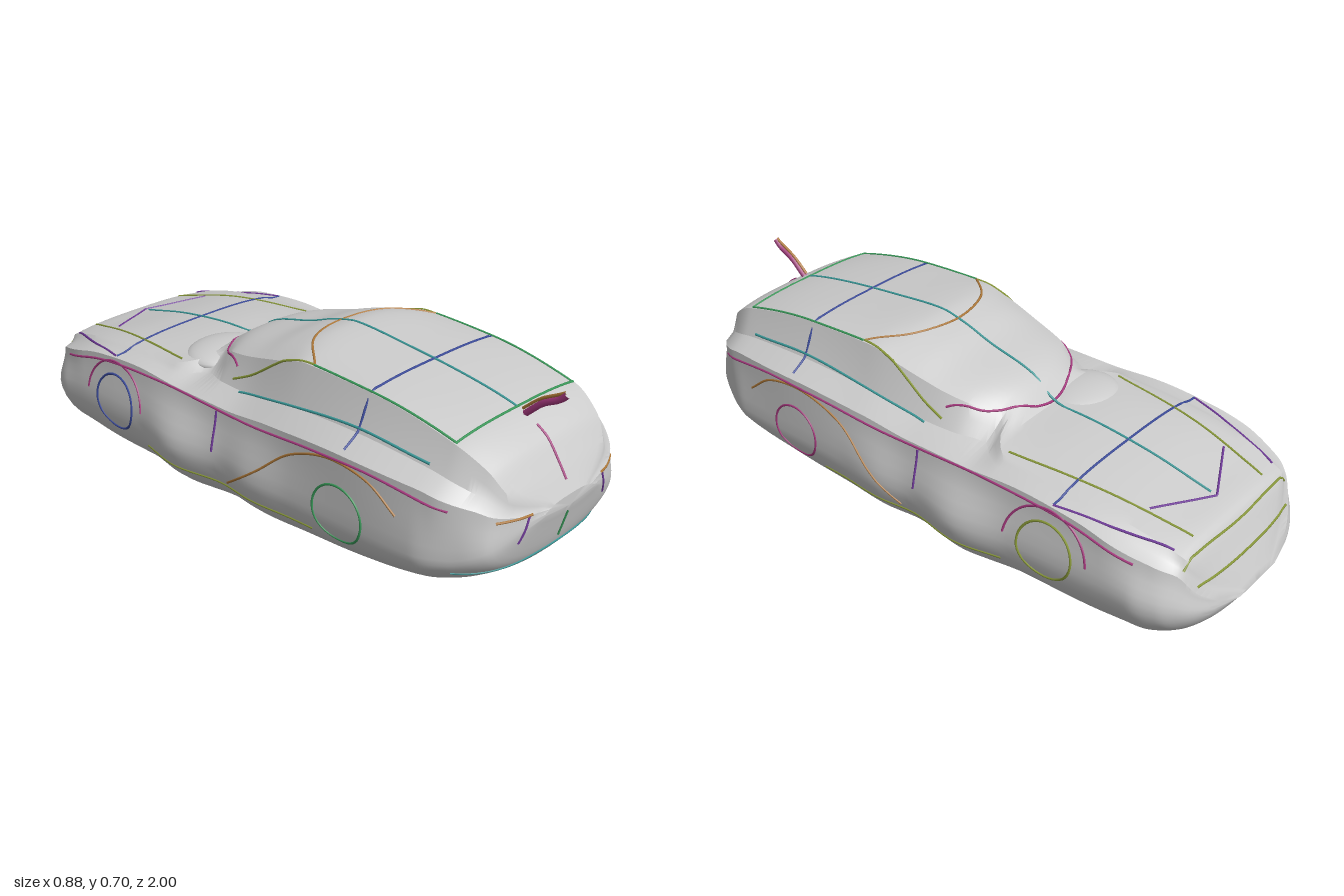
import * as THREE from 'three';
import { toCreasedNormals } from 'three/addons/utils/BufferGeometryUtils.js';

// Body profiles as [z, value] points; the nose is at -z, the tail at +z.
const PROFILES = {
  bottom: [[-1, .2], [-.95, .12], [-.9, .07], [-.8, .025], [-.6, .005], [-.4, .012], [0, .025], [.2, .025],
    [.4, .035], [.6, .065], [.8, .125], [.9, .18], [.95, .225], [1, .38]],
  waistW: [[-1, .1], [-.97, .23], [-.93, .31], [-.88, .36], [-.8, .39], [-.55, .4], [-.4, .405], [-.2, .44],
    [0, .408], [.13, .42], [.3, .405], [.75, .39], [.88, .34], [.94, .3], [.975, .22], [1, .12]],
  waistY: [[-1, .203], [-.9, .25], [-.7, .28], [.7, .28], [.85, .29], [.95, .33], [1, .395]],
  shoulderW: [[-1, .08], [-.97, .21], [-.93, .28], [-.85, .345], [-.7, .38], [0, .38], [.5, .397], [.8, .37],
    [.93, .29], [.975, .21], [1, .1]],
  shoulderY: [[-1, .206], [-.95, .28], [-.9, .36], [-.8, .4], [-.6, .45], [-.4, .465], [-.2, .455], [0, .455],
    [.2, .475], [.5, .495], [.75, .485], [.9, .45], [.95, .425], [1, .405]],
  roofW: [[-1, .06], [-.9, .27], [-.6, .3], [-.3, .3], [-.25, .26], [-.2, .19], [-.1, .24], [0, .26], [.2, .278],
    [.8, .272], [.9, .25], [.95, .22], [1, .08]],
  roofY: [[-1, .208], [-.95, .3], [-.9, .395], [-.6, .467], [-.3, .49], [-.24, .505], [-.15, .553], [0, .59],
    [.15, .63], [.25, .655], [.5, .647], [.8, .595], [.9, .54], [.95, .475], [1, .41]],
  top: [[-1, .21], [-.95, .32], [-.9, .41], [-.8, .435], [-.6, .48], [-.4, .505], [-.25, .512], [-.22, .55],
    [-.15, .59], [0, .63], [.1, .665], [.2, .685], [.4, .67], [.6, .648], [.8, .61], [.9, .56], [.95, .495], [1, .415]],
};

// Smooth interpolation without overshoot.
function sample(points, z) {
  const n = points.length - 1;
  let i = 0;
  while (i < n - 1 && z > points[i + 1][0]) i++;
  const grad = (k) => (points[k + 1][1] - points[k][1]) / (points[k + 1][0] - points[k][0]);
  const slope = (k) => {
    if (k === 0) return grad(0);
    if (k === n) return grad(n - 1);
    const a = grad(k - 1), b = grad(k);
    return a * b <= 0 ? 0 : (2 * a * b) / (a + b);
  };
  const h = points[i + 1][0] - points[i][0], t = (z - points[i][0]) / h;
  const t2 = t * t, t3 = t2 * t;
  return (2 * t3 - 3 * t2 + 1) * points[i][1] + (t3 - 2 * t2 + t) * h * slope(i)
    + (3 * t2 - 2 * t3) * points[i + 1][1] + (t3 - t2) * h * slope(i + 1);
}

// Half cross-section: belly, side, shoulder, cabin side, crowned roof.
function halfSection(z) {
  const p = {};
  for (const key in PROFILES) p[key] = sample(PROFILES[key], z);
  const pts = [];
  for (let i = 0; i < 12; i++) {
    const a = (i / 12) * Math.PI / 2;
    pts.push([p.waistW * Math.sin(a), p.waistY - (p.waistY - p.bottom) * Math.cos(a)]);
  }
  for (let i = 0; i < 5; i++) {
    const t = i / 5;
    pts.push([p.waistW + (p.shoulderW - p.waistW) * t * t * (3 - 2 * t), p.waistY + (p.shoulderY - p.waistY) * t]);
  }
  const mix = THREE.MathUtils.lerp;
  const cabin = [mix(p.roofW, p.shoulderW, .4), mix(p.shoulderY, p.roofY, .28)];
  pts.push([p.shoulderW, p.shoulderY], cabin);
  pts.push([mix(cabin[0], p.roofW, .55), mix(cabin[1], p.roofY, .5)]);
  for (let i = 0; i <= 8; i++) {
    const x = 1 - i / 8;
    pts.push([p.roofW * x, p.top - (p.top - p.roofY) * x * x * x]);
  }
  return pts;
}

function bodyGeometry() {
  const rows = 140, pos = [], index = [];
  let ring = 0;
  for (let r = 0; r <= rows; r++) {
    const u = (r / rows) * 2 - 1;
    const z = .5 * u + .5 * Math.sin(u * Math.PI / 2);
    const half = halfSection(z);
    const full = [...half, ...half.slice(1, -1).reverse().map(([x, y]) => [-x, y])];
    ring = full.length;
    for (const [x, y] of full) pos.push(x, y, z);
  }
  for (let r = 0; r < rows; r++) {
    for (let i = 0; i < ring; i++) {
      const a = r * ring + i, b = r * ring + (i + 1) % ring;
      index.push(a, b, b + ring, a, b + ring, a + ring);
    }
  }
  // End caps
  const last = rows * ring;
  for (let i = 1; i < ring - 1; i++) index.push(0, i + 1, i, last, last + i, last + i + 1);
  const geo = new THREE.BufferGeometry();
  geo.setAttribute('position', new THREE.Float32BufferAttribute(pos, 3));
  geo.setIndex(index);
  return toCreasedNormals(geo, .5);
}

export function createModel() {
  const group = new THREE.Group();
  const grey = new THREE.MeshStandardMaterial({ color: 0xcccccc, side: THREE.DoubleSide });
  const body = new THREE.Mesh(bodyGeometry(), grey);
  body.name = 'body';
  group.add(body);

  // Swelling at the foot of the windscreen, on one side only
  const swelling = new THREE.Mesh(new THREE.SphereGeometry(1, 32, 16), grey);
  swelling.name = 'cowlSwelling';
  swelling.scale.set(.14, .04, .12);
  swelling.position.set(-.13, .485, -.26);
  group.add(swelling);

  const addTube = (name, pts, color, radius = .004, closed = false) => {
    const curve = new THREE.CatmullRomCurve3(pts, closed);
    const mesh = new THREE.Mesh(new THREE.TubeGeometry(curve, pts.length * 2, radius, 6, closed),
      new THREE.MeshStandardMaterial({ color }));
    mesh.name = name;
    group.add(mesh);
  };

  // Trim lines are drawn flat, then projected on to the body from one direction.
  const ray = new THREE.Raycaster();
  const sides = {
    top: [(x, z) => [x, 2, z], [0, -1, 0]],
    left: [(z, y) => [2, y, z], [-1, 0, 0]],
    right: [(z, y) => [-2, y, z], [1, 0, 0]],
    tail: [(x, y) => [x, y, 2], [0, 0, -1]],
    nose: [(x, y) => [x, y, -2], [0, 0, 1]],
  };
  const trim = (name, side, flat, color, closed = false) => {
    const [place, dir] = sides[side];
    const path = new THREE.CatmullRomCurve3(flat.map(([a, b]) => new THREE.Vector3(a, b, 0)), closed);
    const pts = [];
    const steps = Math.max(6, Math.min(32, Math.ceil(path.getLength() / .03)));
    for (let i = 0; i < steps + (closed ? 0 : 1); i++) {
      const p = path.getPoint(i / steps);
      ray.set(new THREE.Vector3(...place(p.x, p.y)), new THREE.Vector3(...dir));
      const hit = ray.intersectObject(body)[0];
      if (hit) pts.push(hit.point);
    }
    if (pts.length > 1) addTube(name, pts, color, .004, closed);
  };
  const arc = (z, y, r, from, to, n = 12) => Array.from({ length: n }, (_, i) => {
    const a = from + (to - from) * i / (n - 1);
    return [z + r * Math.cos(a), y + r * Math.sin(a)];
  });
  const teal = 0x3a9a9a, olive = 0x8a9a3a, magenta = 0xa83a80, blue = 0x3a4a9a, green = 0x3a9a5a, orange = 0xb07a3a,
    purple = 0x703a9a;

  // Lines across the middle
  trim('centreLine', 'top', [[0, -.82], [0, -.25], [0, .3], [0, .8]], teal);
  trim('roofCrossLine', 'top', [[-.38, .5], [0, .5], [.38, .5]], blue);
  trim('bonnetCrossLine', 'top', [[-.37, -.53], [0, -.53], [.37, -.53]], blue);
  trim('windscreenTop', 'top', [[-.27, .28], [-.16, .17], [0, .13], [.16, .17], [.27, .28]], orange);
  trim('windscreenFoot', 'top', [[-.27, -.05], [-.2, -.17], [0, -.25], [.2, -.17], [.27, -.05]], magenta);
  trim('rearWindowFoot', 'top', [[-.27, .8], [0, .8], [.27, .8]], green);
  trim('bonnetLip', 'top', [[-.28, -.91], [0, -.92], [.28, -.91]], olive);
  trim('rearBumperLine', 'tail', [[-.33, .24], [0, .24], [.33, .24]], teal);
  trim('bootLine', 'tail', [[0, .45], [0, .58]], magenta);
  trim('tailCentreMark', 'tail', [[0, .27], [0, .36]], green);
  trim('noseLine', 'nose', [[-.25, .3], [0, .3], [.25, .3]], olive);

  // Mirrored lines along each side
  for (const s of [1, -1]) {
    const side = s > 0 ? 'left' : 'right';
    const across = (pts) => pts.map(([x, b]) => [s * x, b]);
    trim('roofRail', 'top', across([[.272, .28], [.272, .5], [.265, .8]]), green);
    trim('windscreenPillar', 'top', across([[.27, .28], [.28, .1], [.29, -.05]]), olive);
    trim('bonnetSeam', 'top', across([[.28, -.3], [.24, -.6], [.19, -.88]]), olive);
    trim('headlampLine', 'top', across([[.37, -.53], [.32, -.72], [.27, -.87]]), purple);
    trim('bonnetCrease', 'top', across([[0, -.84], [.1, -.79], [.2, -.74]]), purple);
    trim('tailLampTop', 'tail', across([[.16, .41], [.27, .41]]), orange);
    trim('tailLampSide', 'tail', across([[.17, .41], [.2, .33]]), purple);
    trim('shoulderLine', side, [[.85, .44], [.6, .475], [.4, .47], [.1, .445], [-.3, .45], [-.6, .43], [-.8, .38]], magenta);
    trim('windowLine', side, [[.75, .53], [.5, .55], [.25, .53], [0, .49]], teal);
    trim('sill', side, [[.38, .2], [0, .2], [-.36, .2]], olive);
    trim('doorSeam', side, [[-.03, .31], [-.03, .44]], purple);
    trim('rearArch', side, [[.7, .38], [.6, .45], [.46, .47], [.3, .42], [.17, .32], [.03, .22]], orange);
    trim('frontArch', side, arc(-.52, .3, .145, .1, Math.PI - .1), magenta);
    trim('rearWheelRing', side, arc(.49, .3, .093, 0, Math.PI * 1.94, 24), s > 0 ? magenta : green, true);
    trim('frontWheelRing', side, arc(-.52, .305, .095, 0, Math.PI * 1.94, 24), s > 0 ? olive : blue, true);
  }

  // Aerial fin leaning back over the tail
  const v = (x, y, z) => new THREE.Vector3(x, y, z);
  addTube('aerial', [v(0, .6, .83), v(0, .65, .885), v(0, .68, .94), v(0, .7, .96)], magenta, .011);
  addTube('aerialStripe', [v(0, .612, .82), v(0, .66, .875), v(0, .69, .93), v(0, .705, .955)], orange, .005);
  return group;
}
